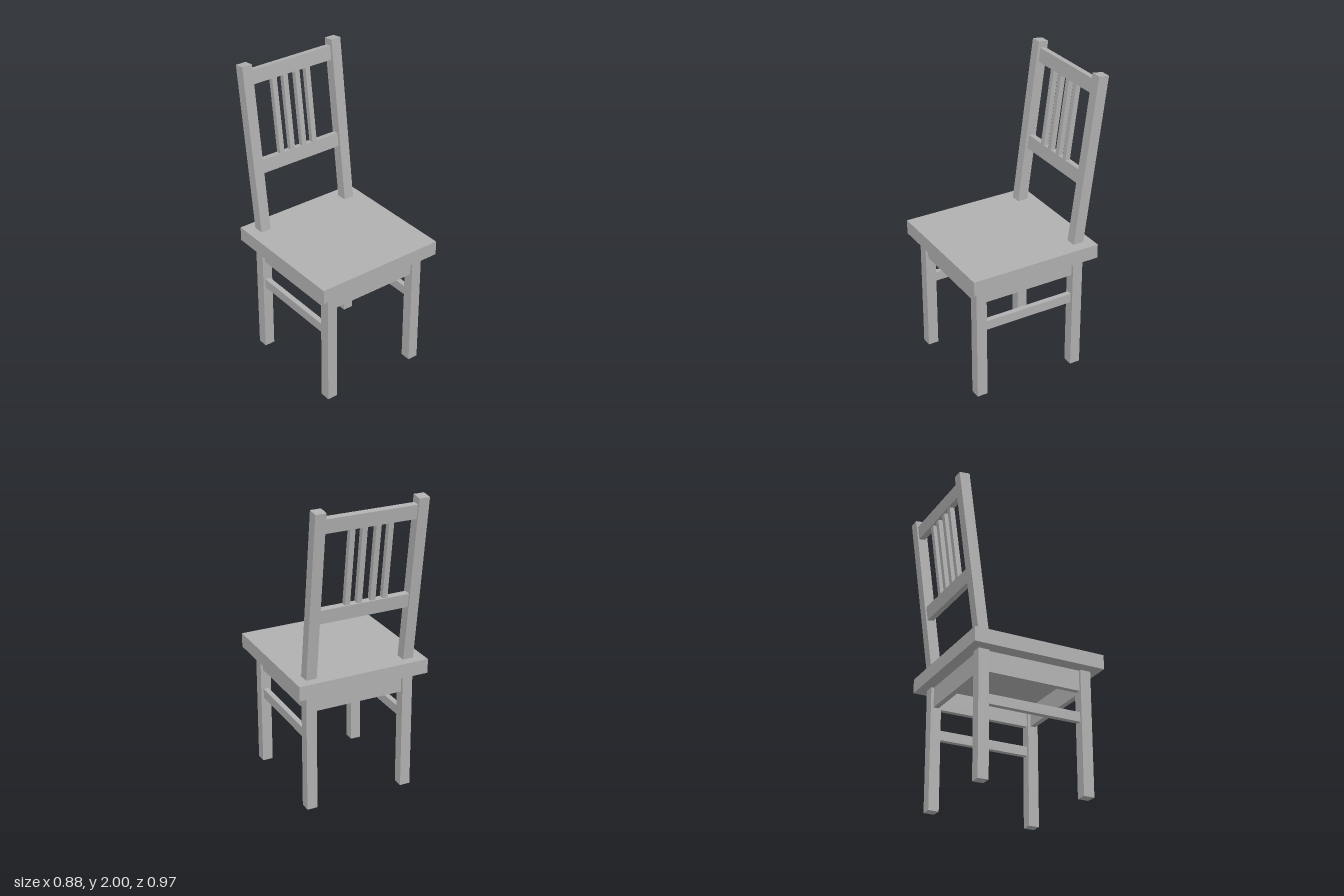
import * as THREE from 'three';

export function createModel() {
  const chair = new THREE.Group();
  chair.name = 'chair';
  const grey = new THREE.MeshStandardMaterial({ name: 'grey', color: 0xb0b0b0 });

  // Box given by its extents on each axis
  function bar(parent, name, [x0, x1], [y0, y1], [z0, z1]) {
    const mesh = new THREE.Mesh(new THREE.BoxGeometry(x1 - x0, y1 - y0, z1 - z0), grey);
    mesh.position.set((x0 + x1) / 2, (y0 + y1) / 2, (z0 + z1) / 2);
    mesh.name = name;
    parent.add(mesh);
  }
  // Extents mirrored to the given side
  const sided = (s, a, b) => (s > 0 ? [a, b] : [-b, -a]);

  const seatBottom = 0.81, seatTop = 0.905;
  bar(chair, 'seat', [-0.442, 0.442], [seatBottom, seatTop], [-0.402, 0.482]);

  // Legs, side aprons and side stretchers
  for (const s of [1, -1]) {
    const side = s > 0 ? 'left' : 'right';
    const legX = sided(s, 0.299, 0.369);
    const railX = sided(s, 0.317, 0.352);
    bar(chair, side + 'FrontLeg', legX, [0, seatBottom], [0.356, 0.427]);
    bar(chair, side + 'BackLeg', legX, [0, seatBottom], [-0.341, -0.271]);
    bar(chair, side + 'Apron', railX, [0.675, seatBottom], [-0.271, 0.356]);
    bar(chair, side + 'Stretcher', railX, [0.472, 0.535], [-0.271, 0.356]);
  }

  // Front and back aprons
  bar(chair, 'frontApron', [-0.299, 0.299], [0.675, seatBottom], [0.374, 0.409]);
  bar(chair, 'backApron', [-0.299, 0.299], [0.675, seatBottom], [-0.323, -0.288]);

  // Backrest, leaning backwards from the seat top
  const back = new THREE.Group();
  back.name = 'backrest';
  back.position.set(0, seatTop, -0.306);
  back.rotation.x = -0.131;
  chair.add(back);
  for (const s of [1, -1]) {
    bar(back, s > 0 ? 'leftPost' : 'rightPost', sided(s, 0.299, 0.369), [-0.03, 1.1], [-0.035, 0.035]);
  }
  bar(back, 'topRail', [-0.299, 0.299], [0.966, 1.057], [-0.025, 0.017]);
  bar(back, 'lowerRail', [-0.299, 0.299], [0.376, 0.467], [-0.025, 0.017]);
  for (const x of [-0.138, -0.056, 0.034, 0.114]) {
    bar(back, 'slat', [x - 0.017, x + 0.017], [0.467, 0.966], [-0.017, 0.0165]);
  }
  return chair;
}
